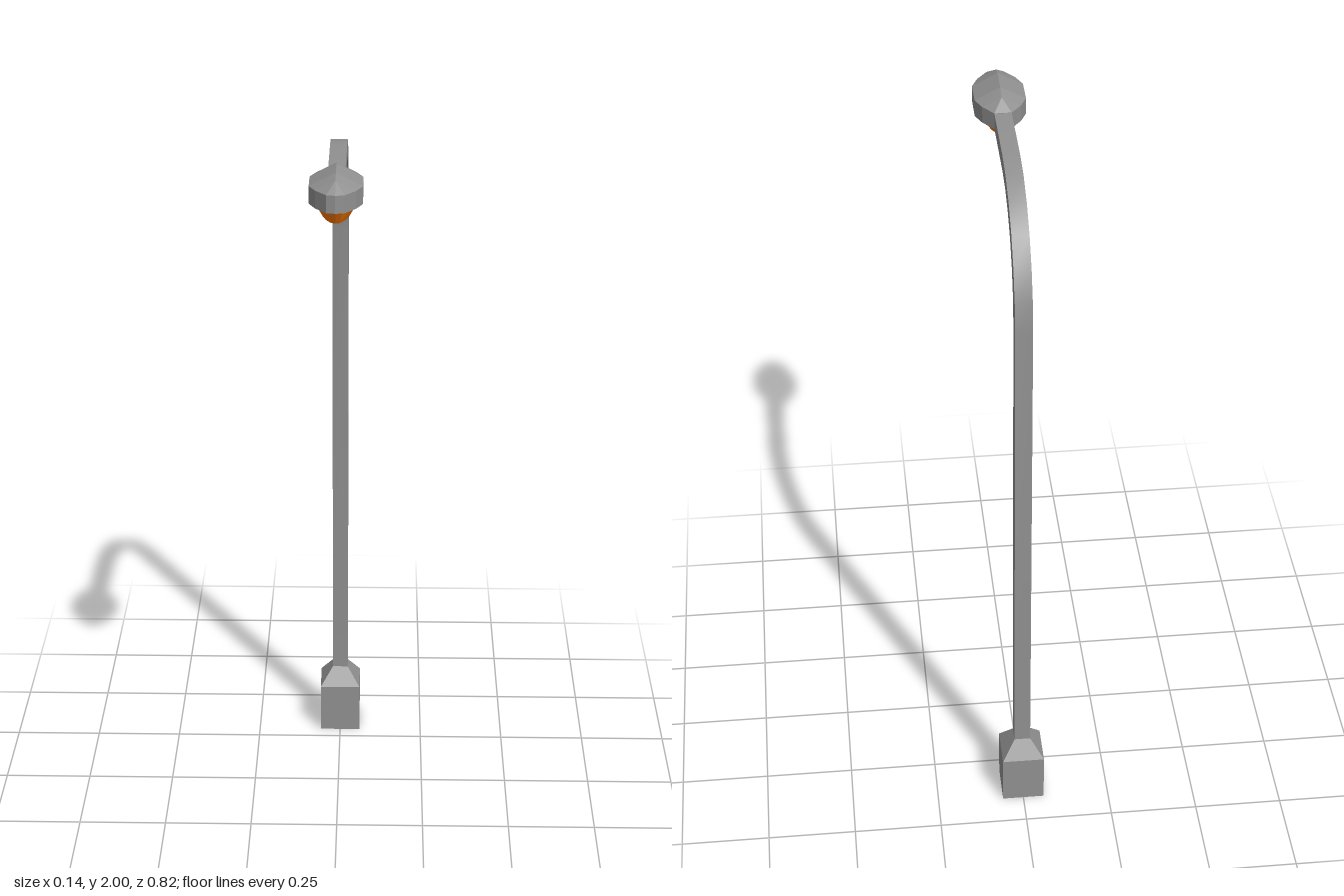
import * as THREE from 'three';
import { toCreasedNormals } from 'three/addons/utils/BufferGeometryUtils.js';

const grey = 0x919191;
const metal = new THREE.MeshStandardMaterial({ color: grey, flatShading: true });
const smoothMetal = new THREE.MeshStandardMaterial({ color: grey });
const openMetal = new THREE.MeshStandardMaterial({ color: grey, flatShading: true, side: THREE.DoubleSide });
const amber = new THREE.MeshStandardMaterial({ color: 0xff7a00, flatShading: true });

// Skin a stack of equal-length rings (counter-clockwise seen from the last ring),
// splitting each quad along its shorter diagonal, and optionally cap both ends
function loft(rings, capped = true) {
  const n = rings[0].length, index = [], points = rings.flat();
  const dist = (p, q) => Math.hypot(...points[p].map((v, i) => v - points[q][i]));
  for (let i = 0; i < rings.length - 1; i++) {
    for (let j = 0; j < n; j++) {
      const k = (j + 1) % n;
      const a = i * n + j, b = i * n + k, c = b + n, d = a + n;
      if (dist(a, c) <= dist(b, d)) index.push(a, b, c, a, c, d);
      else index.push(a, b, d, b, c, d);
    }
  }
  const last = (rings.length - 1) * n;
  for (let j = 1; capped && j < n - 1; j++) {
    index.push(0, j + 1, j, last, last + j, last + j + 1);
  }
  const geo = new THREE.BufferGeometry();
  geo.setAttribute('position', new THREE.Float32BufferAttribute(points.flat(), 3));
  geo.setIndex(index);
  const flat = geo.toNonIndexed();
  flat.computeVertexNormals();
  return flat;
}

export function createModel() {
  const group = new THREE.Group();
  const add = (name, geometry, material) => {
    const mesh = new THREE.Mesh(geometry, material);
    mesh.name = name;
    group.add(mesh);
  };

  const poleZ = -0.351, half = 0.023;

  // Square base with a tapered shoulder, hollow underneath
  const square = (h, y) =>
    [[h, 1], [h, -1], [-h, -1], [-h, 1]].map(([x, s]) => [x, y, poleZ + s * h]);
  add('base', loft([square(0.06, 0), square(0.06, 0.15), square(half, 0.203)], false), openMetal);

  // Pole, bend and arm: one side profile extruded to the pole's width
  const radius = 0.31, bendZ = poleZ + radius, bendY = 1.63, steps = 6, armEnd = 0.177;
  const edge = (r) => {
    const pts = [new THREE.Vector2(bendZ - r, 0.2)];
    for (let i = 0; i <= steps; i++) {
      const a = (i / steps) * Math.PI / 2;
      pts.push(new THREE.Vector2(bendZ - r * Math.cos(a), bendY + r * Math.sin(a)));
    }
    pts.push(new THREE.Vector2(armEnd, bendY + r));
    return pts;
  };
  const profile = new THREE.Shape([...edge(radius - half), ...edge(radius + half).reverse()]);
  const pole = new THREE.ExtrudeGeometry(profile, { depth: 2 * half, bevelEnabled: false });
  pole.translate(0, 0, -half).rotateY(-Math.PI / 2);
  add('poleAndArm', toCreasedNormals(pole, Math.PI / 6), smoothMetal);

  // Lamp head: stations of [z, half width, ridge height] with a gabled top
  const low = 1.917, eave = 1.964;
  const stations = [
    [0.175, half, eave], [0.212, 0.052, 1.99], [0.25, 0.069, 2], [0.33, 0.069, 2],
    [0.369, 0.052, 1.99], [0.406, half, 1.967], [0.411, 0, eave],
  ];
  add('lampHead', loft(stations.map(([z, w, ridge]) =>
    [[-w, low, z], [w, low, z], [w, eave, z], [0, ridge, z], [-w, eave, z]])), metal);

  // Amber lens: the head's outline shrunk and tapered downwards
  const centreZ = 0.293;
  const side = stations.slice(0, -1);
  const outline = [[0, 0.411], ...side.map(([z, w]) => [w, z]).reverse(),
    ...side.map(([z, w]) => [-w, z])];
  const ring = (sx, sz, y) => outline.map(([x, z]) => [x * sx, y, centreZ + (z - centreZ) * sz]);
  add('lens', loft([ring(0.47, 0.63, 1.877), ring(0.78, 0.86, low)]), amber);

  return group;
}
